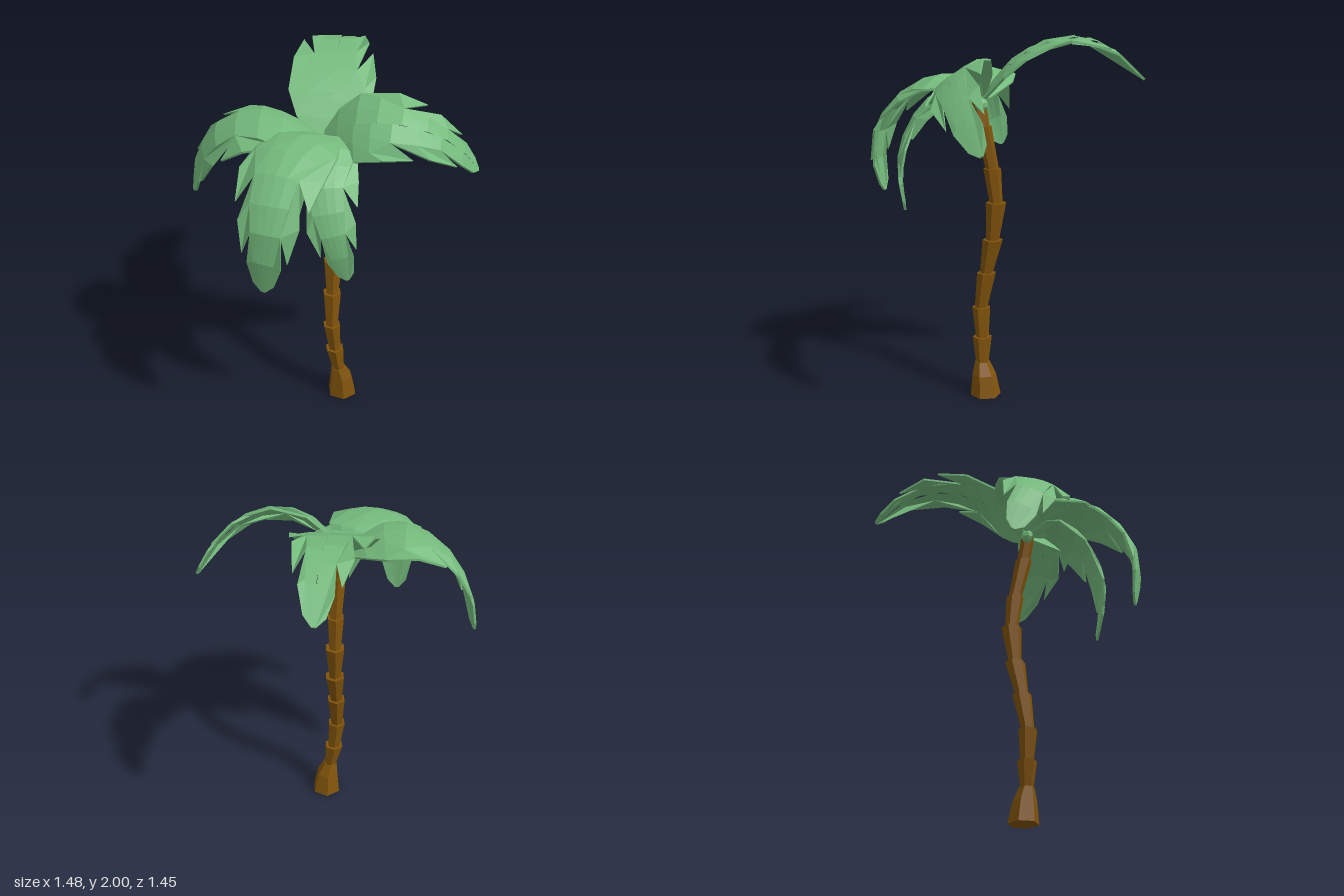
import * as THREE from 'three';

const green = new THREE.MeshStandardMaterial({ color: 0x74ba7c, flatShading: true });
const brown = new THREE.MeshStandardMaterial({ color: 0x80530a, flatShading: true });
const V = (a) => new THREE.Vector3(...a);

// Half-leaf body: [position along leaf, relative width]
const BODY = [
  [0, 0.25], [0.1, 0.72], [0.22, 0.98], [0.33, 0.78], [0.45, 0.52],
  [0.58, 0.46], [0.7, 0.36], [0.84, 0.25], [1, 0.05],
];
// Pointed lobes, each spanning three body rows: [first row, shoulder, tip]
const LOBES = [
  [2, [0.42, 1], [0.58, 0.86]],
  [4, [0.66, 0.72], [0.82, 0.54]],
  [6, [0.86, 0.4], [0.96, 0.25]],
];

// Thin arched leaf with notched edges, swept along a curve
function frondGeometry({ path, side, width, fold, stagger = 0 }) {
  const curve = new THREE.CatmullRomCurve3(path.map(V));
  const pos = [];
  const face = (pts, flip) => {
    const p = flip ? [...pts].reverse() : pts;
    for (let i = 1; i < p.length - 1; i++) {
      for (const q of [p[0], p[i], p[i + 1]]) pos.push(q.x, q.y, q.z);
    }
  };

  const point = (t, w, depth) => {
    const tangent = curve.getTangentAt(t);
    const across = V(side).addScaledVector(tangent, -V(side).dot(tangent)).normalize();
    const normal = across.clone().cross(tangent);
    return curve.getPointAt(t)
      .addScaledVector(across, w * width)
      .addScaledVector(normal, -fold * w * w - depth);
  };

  for (const s of [1, -1]) {
    // Lobes on the first half sit further back by the stagger
    const at = ([t, w], depth) => {
      const k = s > 0 ? t - stagger * Math.sin(Math.PI * t) * Math.min(1, 2 * t) : t;
      return point(k, s * w, depth);
    };
    for (const depth of [0, 0.012]) {
      const flip = (s < 0) !== (depth > 0);
      const rows = BODY.map(([t, w]) => [0, 0.5, 1].map((k) => at([t, w * k], depth)));
      for (let i = 0; i < rows.length - 1; i++) {
        const a = rows[i], b = rows[i + 1];
        for (const j of [0, 1]) face([a[j], a[j + 1], b[j + 1], b[j]], flip);
      }
      for (const [i, shoulder, tip] of LOBES) {
        const corners = [BODY[i + 1], BODY[i], shoulder, tip, BODY[i + 2]];
        face(corners.map((c) => at(c, depth)), flip);
      }
    }
    // Rim closing the two skins
    const outline = BODY.slice(0, 2);
    for (const [i, shoulder, tip] of LOBES) outline.push(BODY[i], shoulder, tip);
    outline.push(BODY[BODY.length - 1], [1, 0]);
    for (let i = 0; i < outline.length - 1; i++) {
      const [a, b] = [outline[i], outline[i + 1]];
      face([at(a, 0), at(a, 0.012), at(b, 0.012), at(b, 0)], s < 0);
    }
  }
  const g = new THREE.BufferGeometry();
  g.setAttribute('position', new THREE.Float32BufferAttribute(pos, 3));
  g.computeVertexNormals();
  return g;
}

const FRONDS = {
  backFrond: {
    path: [[-0.04, 1.66, 0.13], [-0.01, 1.82, 0.01], [0.03, 1.93, -0.13], [0.075, 1.995, -0.33],
      [0.12, 1.95, -0.53], [0.15, 1.78, -0.72]],
    side: [1, 0, 0.12], width: 0.22, fold: 0.005, stagger: 0.1,
  },
  leftFrond: {
    path: [[-0.05, 1.67, 0.14], [0.08, 1.79, 0.25], [0.25, 1.83, 0.325], [0.43, 1.79, 0.345],
      [0.6, 1.68, 0.31], [0.74, 1.5, 0.23]],
    side: [-0.1, -0.6, 0.78], width: 0.19, fold: 0.03, stagger: 0.05,
  },
  rightFrond: {
    path: [[-0.05, 1.67, 0.13], [-0.2, 1.77, 0.13], [-0.37, 1.8, 0.11], [-0.56, 1.725, 0.07],
      [-0.69, 1.54, 0.01], [-0.735, 1.29, -0.08]],
    side: [-0.12, 0.05, -1], width: 0.205, fold: 0.06,
  },
  frontRightFrond: {
    path: [[-0.06, 1.67, 0.14], [-0.14, 1.78, 0.26], [-0.25, 1.76, 0.41], [-0.34, 1.63, 0.58],
      [-0.39, 1.4, 0.69], [-0.4, 1.1, 0.65]],
    side: [-0.88, 0, -0.42], width: 0.22, fold: 0.06,
  },
  frontFrond: {
    path: [[-0.05, 1.67, 0.14], [-0.06, 1.74, 0.25], [-0.075, 1.69, 0.39], [-0.075, 1.54, 0.52],
      [-0.04, 1.33, 0.59], [0.03, 1.08, 0.56]],
    side: [-1, 0, -0.05], width: 0.17, fold: 0.05,
  },
};

// Trunk joints: [x, y, z, radius at the top of the segment below]
const JOINTS = [
  [0.053, 0, 0.125, 0.085], [0.045, 0.12, 0.132, 0.066], [0.028, 0.19, 0.14, 0.042],
  [0.007, 0.33, 0.137, 0.054], [-0.01, 0.5, 0.14, 0.051], [-0.005, 0.7, 0.11, 0.053],
  [0.005, 0.89, 0.076, 0.057], [0.005, 1.1, 0.057, 0.057], [0, 1.29, 0.077, 0.049],
  [-0.015, 1.52, 0.125, 0.047], [-0.04, 1.66, 0.145, 0.038],
];

// Six-sided segment, sheared so both ends stay level
function segment([x0, y0, z0], [x1, y1, z1, top], bottom) {
  const h = y1 - y0;
  const g = new THREE.CylinderGeometry(top, bottom, h, 6).translate(0, h / 2, 0);
  const p = g.attributes.position;
  for (let i = 0; i < p.count; i++) {
    const k = p.getY(i) / h;
    p.setXYZ(i, p.getX(i) + x0 + (x1 - x0) * k, p.getY(i) + y0, p.getZ(i) + z0 + (z1 - z0) * k);
  }
  g.computeVertexNormals();
  return g;
}

export function createModel() {
  const model = new THREE.Group();
  model.name = 'palmTree';
  const add = (parent, name, geometry, material) => {
    const mesh = new THREE.Mesh(geometry, material);
    mesh.name = name;
    parent.add(mesh);
    return mesh;
  };

  // Trunk of flared segments on a wide two-step foot
  const trunk = new THREE.Group();
  trunk.name = 'trunk';
  for (let i = 0; i < JOINTS.length - 1; i++) {
    const isFoot = i < 2;
    const bottom = isFoot ? JOINTS[i][3] : 0.036;
    add(trunk, isFoot ? 'trunkFoot' : 'trunkSegment', segment(JOINTS[i], JOINTS[i + 1], bottom), brown);
  }
  model.add(trunk);

  // Crown of leaves
  const crown = new THREE.Group();
  crown.name = 'crown';
  for (const [name, spec] of Object.entries(FRONDS)) add(crown, name, frondGeometry(spec), green);
  model.add(crown);

  // Coconuts beneath the leaves
  for (const p of [[0.045, 1.645, 0.14], [-0.09, 1.64, 0.13]]) {
    add(model, 'coconut', new THREE.SphereGeometry(0.036, 7, 5), green).position.set(...p);
  }
  return model;
}
